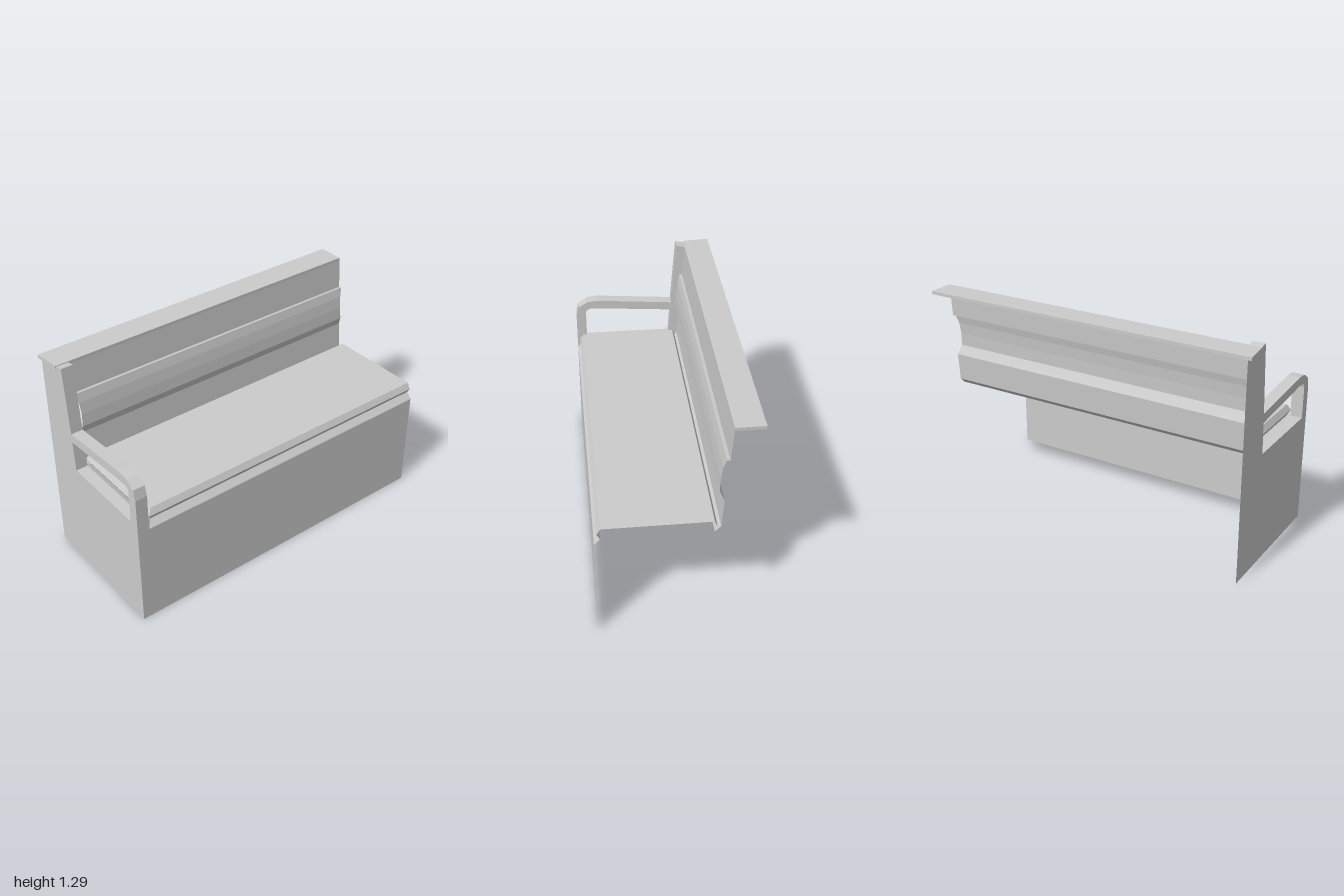
import * as THREE from 'three';

const material = new THREE.MeshStandardMaterial({ color: 0xcccccc, side: THREE.DoubleSide, flatShading: true });

function mesh(name, geometry) {
  const m = new THREE.Mesh(geometry, material);
  m.name = name;
  return m;
}

// Folded sheet: joins neighbouring rows of [x, y, z] points with flat quads
function sheet(name, rows) {
  const pos = [];
  for (let i = 0; i < rows.length - 1; i++) {
    for (let j = 0; j < rows[i].length - 1; j++) {
      const a = rows[i][j], b = rows[i][j + 1], c = rows[i + 1][j + 1], d = rows[i + 1][j];
      pos.push(...a, ...d, ...c, ...a, ...c, ...b);
    }
  }
  const g = new THREE.BufferGeometry();
  g.setAttribute('position', new THREE.Float32BufferAttribute(pos, 3));
  g.computeVertexNormals();
  return mesh(name, g);
}

const outline = (pts) => pts.map(([z, y]) => new THREE.Vector2(z, y));

export function createModel() {
  const group = new THREE.Group();
  const right = 1, outer = -0.98, inner = -0.91;

  // Front panel, open sheet
  group.add(sheet('frontPanel', [
    [[outer, 0.61, 0.42], [right, 0.61, 0.42]],
    [[outer, 0, 0.42], [right, 0, 0.42]],
  ]));

  // Full-height end panel, a thin sheet
  const panel = new THREE.ShapeGeometry(new THREE.Shape(outline([
    [-0.42, 0], [0.42, 0], [0.42, 0.645], [-0.2, 0.645], [-0.25, 1.28], [-0.42, 1.28],
  ])));
  panel.rotateY(-Math.PI / 2).translate(outer, 0, 0);
  group.add(mesh('endPanel', panel));

  // Armrest frame with its window, joined to the back post
  const frame = new THREE.Shape(outline([
    [0.42, 0.61], [0.42, 0.83], [0.405, 0.89], [0.35, 0.926], [0.29, 0.933], [-0.185, 0.895],
    [-0.215, 1.29], [-0.265, 1.28], [-0.225, 0.645], [0.39, 0.645],
  ]));
  frame.holes.push(new THREE.Path(outline([
    [0.36, 0.66], [0.36, 0.85], [0.353, 0.868], [0.335, 0.878], [0.29, 0.879], [-0.183, 0.843], [-0.172, 0.66],
  ])));
  const arm = new THREE.ExtrudeGeometry(frame, { depth: inner - outer, bevelEnabled: false });
  arm.rotateY(-Math.PI / 2).translate(inner, 0, 0);
  group.add(mesh('armrestFrame', arm));

  // Seat: flat top with a folded trim on three sides
  const ring = (x, y, front, back) => [[right, y, front], [x, y, front], [x, y, back], [right, y, back]];
  const rings = [
    ring(-0.875, 0.71, 0.385, -0.19),
    ring(-0.895, 0.675, 0.405, -0.205),
    ring(-0.88, 0.645, 0.388, -0.19),
  ];
  const top = rings[0];
  group.add(sheet('seatTop', [[top[0], top[3]], [top[1], top[2]]]));
  group.add(sheet('seatTrim', rings));
  const lip = rings[2];
  group.add(sheet('seatFrontFlange', [
    [lip[1], lip[0]],
    [[inner, 0.61, 0.42], [right, 0.61, 0.42]],
  ]));
  group.add(sheet('seatSideFlange', [
    [lip[1], lip[2]],
    [[inner, 0.66, 0.4], [inner, 0.66, -0.22]],
  ]));
  group.add(sheet('seatBackFlange', [
    [lip[2], lip[3]],
    [[inner, 0.677, -0.222], [right, 0.677, -0.222]],
  ]));

  // Backrest: [y, z, end inset], with a swelling pressed into the middle
  const profile = [
    [1.275, -0.266, 0], [1.092, -0.253, 0], [1.094, -0.235, 0], [1.04, -0.222, 0.016], [0.97, -0.213, 0.02],
    [0.895, -0.209, 0.016], [0.84, -0.234, 0], [0.677, -0.222, 0],
  ];
  group.add(sheet('backrest', profile.map(([y, z, inset]) => [
    [inner + inset, y, z], [right - inset, y, z],
  ])));

  // Top ledge, its near end slightly tapered
  const ledge = new THREE.BoxGeometry(2, 0.018, 0.155).translate(0, 1.276, -0.3425);
  const p = ledge.attributes.position;
  for (let i = 0; i < p.count; i++) {
    if (p.getX(i) < 0 && p.getZ(i) > -0.3) p.setX(i, -0.985);
  }
  ledge.computeVertexNormals();
  group.add(mesh('topLedge', ledge));

  return group;
}
